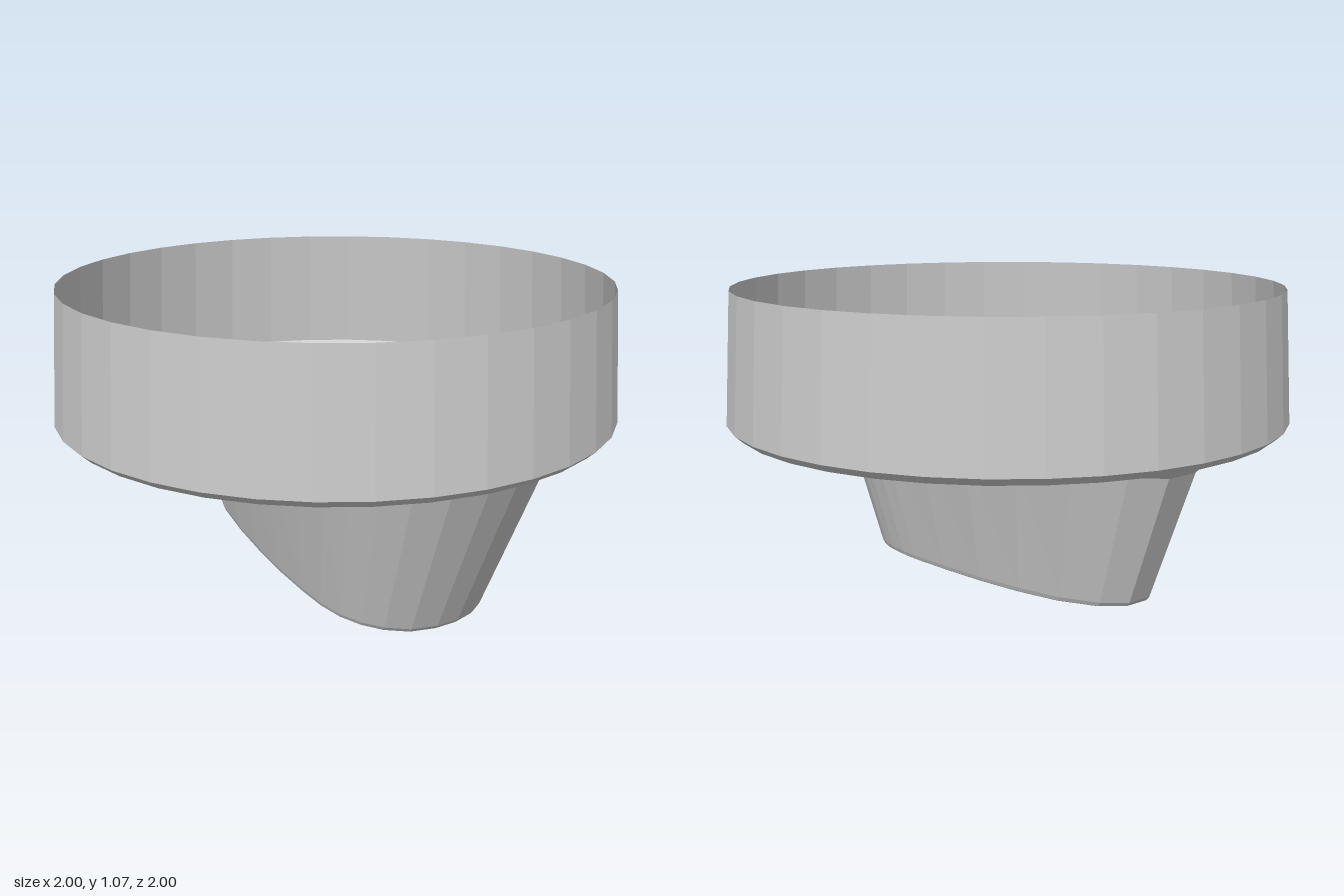
import * as THREE from 'three';

const SIDES = 36, FLOOR = 0.583, CAP = 0.56;

// Plan of the grip, as x, z pairs going around
const PLAN = [
  [-0.54, -0.70], [-0.35, -0.645], [-0.14, -0.53], [0.08, -0.385], [0.30, -0.22], [0.50, -0.06],
  [0.58, 0.01], [0.66, 0.09], [0.72, 0.16], [0.77, 0.24], [0.80, 0.33], [0.805, 0.41],
  [0.785, 0.50], [0.73, 0.60], [0.65, 0.685], [0.54, 0.75], [0.42, 0.77], [0.31, 0.755],
  [0.20, 0.71], [0.09, 0.633], [-0.03, 0.52], [-0.18, 0.365], [-0.34, 0.18], [-0.50, -0.02],
  [-0.65, -0.23], [-0.745, -0.42], [-0.755, -0.57], [-0.675, -0.68],
];

// Moves the plan inwards by a constant distance
function inset(plan, d) {
  return plan.map(([x, z], i) => {
    const a = plan[(i + plan.length - 1) % plan.length], b = plan[(i + 1) % plan.length];
    const tx = b[0] - a[0], tz = b[1] - a[1], l = Math.hypot(tx, tz);
    return [x - tz / l * d, z + tx / l * d];
  });
}

// Joins rings of points into a skin; optionally closes the last ring
function loft(rings, closeEnd) {
  const n = rings[0].length, pos = rings.flat(2), index = [];
  for (let r = 0; r < rings.length - 1; r++) {
    for (let i = 0; i < n; i++) {
      const a = r * n + i, b = r * n + (i + 1) % n;
      index.push(a, b, a + n, b, b + n, a + n);
    }
  }
  if (closeEnd) {
    const last = rings[rings.length - 1], base = (rings.length - 1) * n;
    const faces = THREE.ShapeUtils.triangulateShape(last.map(p => new THREE.Vector2(p[0], p[2])), []);
    faces.forEach(f => index.push(base + f[0], base + f[1], base + f[2]));
  }
  const g = new THREE.BufferGeometry();
  g.setAttribute('position', new THREE.Float32BufferAttribute(pos, 3));
  g.setIndex(index);
  g.computeVertexNormals();
  return g;
}

export function createModel() {
  const group = new THREE.Group();
  const material = new THREE.MeshStandardMaterial({ color: 0xcccccc, flatShading: true, side: THREE.DoubleSide });
  const add = (name, geometry) => {
    const mesh = new THREE.Mesh(geometry, material);
    mesh.name = name;
    group.add(mesh);
  };
  const vectors = plan => plan.map(([x, z]) => new THREE.Vector2(x, z));

  // Thin tapered skirt with a chamfered lower edge
  add('skirt', new THREE.LatheGeometry(
    [[0.97, FLOOR], [1, 0.61], [0.972, 1.07]].map(p => new THREE.Vector2(...p)), SIDES));

  // Floor disc, pierced by the grip outline
  const disc = [];
  for (let i = 0; i < SIDES; i++) {
    const a = i / SIDES * Math.PI * 2;
    disc.push(new THREE.Vector2(0.97 * Math.sin(a), 0.97 * Math.cos(a)));
  }
  const floorShape = new THREE.Shape(disc);
  floorShape.holes.push(new THREE.Path(vectors(PLAN)));
  add('floor', new THREE.ShapeGeometry(floorShape).rotateX(Math.PI / 2).translate(0, FLOOR, 0));

  // Shallow sloped lip down to the plate covering the grip
  const rim = inset(PLAN, 0.022);
  const rimRing = rim.map(([x, z]) => [x, CAP, z]);
  add('recess', loft([PLAN.map(([x, z]) => [x, FLOOR, z]), rimRing], true));

  // Tapered grip with a slanted, slightly bevelled end
  const endRing = (scale, lift) => rim.map(([px, pz]) => {
    const x = (px - 0.025) * scale - 0.003, z = (pz - 0.033) * scale + 0.01;
    return [x, Math.max(0, 0.044 * (0.93 - x - z)) + lift, z];
  });
  add('grip', loft([rimRing, endRing(0.77, 0.018), endRing(0.757, 0.004), endRing(0.74, 0)], true));

  return group;
}
